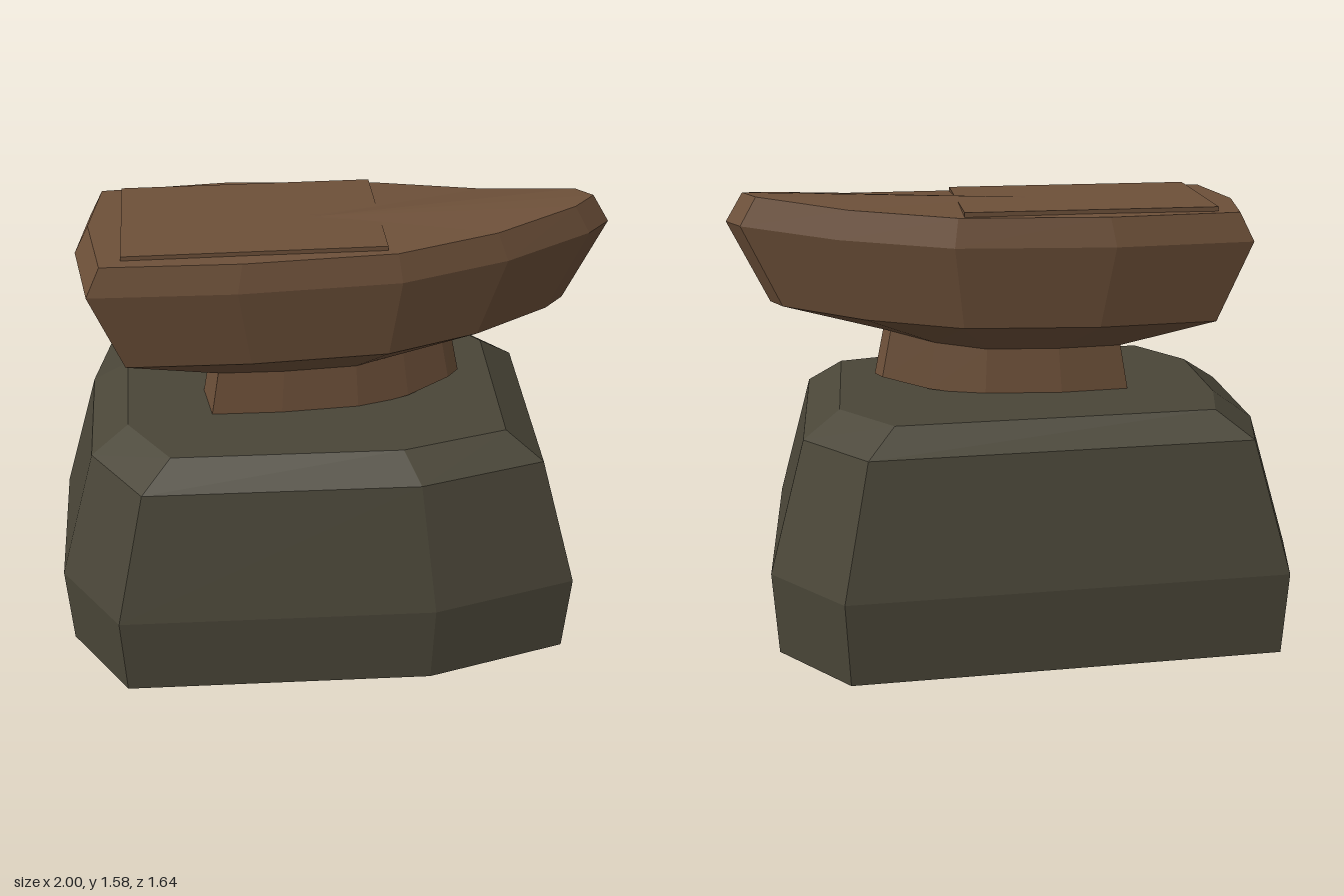
import * as THREE from 'three';

// Loft of scaled copies of one outline. outline: [x, z, lift], rings: [y, scale], bottom to top
function loft(outline, rings, [cx, cz], topY) {
  const pos = [];
  const n = outline.length;
  const point = ([y, s], i) => {
    const [x, z, lift = 0] = outline[i % n];
    return [cx + (x - cx) * s, y + lift, cz + (z - cz) * s];
  };
  const tri = (a, b, c) => pos.push(...a, ...b, ...c);
  const first = rings[0], last = rings[rings.length - 1];
  for (let i = 0; i < n; i++) {
    for (let r = 0; r < rings.length - 1; r++) {
      const a = point(rings[r], i), b = point(rings[r], i + 1);
      const c = point(rings[r + 1], i), d = point(rings[r + 1], i + 1);
      tri(b, a, c);
      tri(b, c, d);
    }
    tri([cx, first[0], cz], point(first, i), point(first, i + 1)); // underside
    tri([cx, topY, cz], point(last, i + 1), point(last, i)); // top
  }
  const g = new THREE.BufferGeometry();
  g.setAttribute('position', new THREE.Float32BufferAttribute(pos, 3));
  g.computeVertexNormals();
  return g;
}

export function createModel() {
  const group = new THREE.Group();
  const stone = new THREE.MeshStandardMaterial({ color: 0x4a4638, flatShading: true });
  stone.name = 'dark stone';
  const wood = new THREE.MeshStandardMaterial({ color: 0x6d5039, flatShading: true });
  wood.name = 'brown';
  const add = (name, geometry, material) => {
    const mesh = new THREE.Mesh(geometry, material);
    mesh.name = name;
    group.add(mesh);
    return mesh;
  };

  // Eight-sided tapered base with a bevelled top
  const baseOutline = [
    [-1, -0.34], [0.47, -0.82], [0.79, -0.59], [1, 0.28],
    [0.54, 0.55], [-0.53, 0.82], [-0.81, 0.57], [-0.98, -0.02],
  ];
  add('base', loft(baseOutline, [[0, 0.98], [0.3, 1], [0.77, 0.86], [0.86, 0.72]], [0, 0], 0.86), stone);

  // Pointed cap on a narrow neck, lifted towards its tip
  const capOutline = [
    [-0.83, -0.08], [-0.37, -0.25], [0.17, -0.35], [0.58, -0.33, 0.015],
    [0.93, -0.31, 0.05], [1, -0.25, 0.055], [0.94, -0.16, 0.045], [0.68, 0.05, 0.015],
    [0.35, 0.25], [-0.17, 0.43], [-0.65, 0.55], [-0.79, 0.23],
  ];
  const capRings = [[0.85, 0.5], [1.02, 0.465], [1.13, 0.86], [1.42, 1], [1.52, 0.94]];
  add('cap', loft(capOutline, capRings, [0.03, 0.03], 1.538), wood);

  // Thin raised panel on the wide end of the cap
  const panel = add('topPanel', new THREE.BoxGeometry(0.88, 0.04, 0.555), wood);
  panel.position.set(-0.205, 1.517, 0.075);
  panel.rotation.y = 0.276;

  return group;
}
